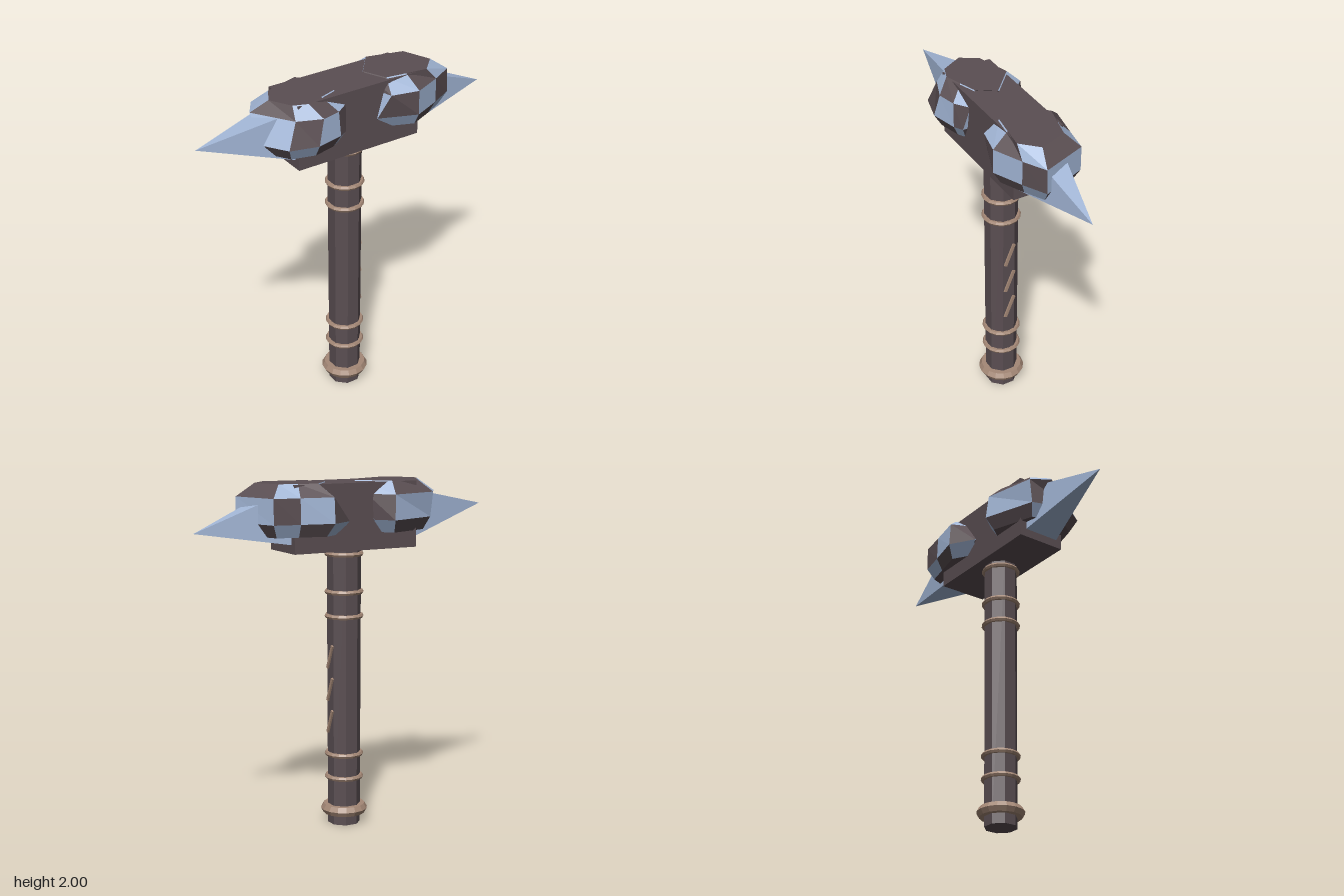
import * as THREE from 'three';

const mat = (name, color) => Object.assign(new THREE.MeshStandardMaterial({ color, flatShading: true }), { name });

export function createModel() {
  const model = new THREE.Group();
  model.name = 'warHammer';
  const dark = mat('darkStone', 0x5a4e52);
  const blue = mat('blueSteel', 0xa2b6d6);
  const brown = mat('brownBinding', 0xa48876);

  const add = (name, geometry, material, x = 0, y = 0, z = 0) => {
    const mesh = new THREE.Mesh(geometry, material);
    mesh.name = name;
    mesh.position.set(x, y, z);
    model.add(mesh);
    return mesh;
  };
  const toGeometry = (corners) => {
    const g = new THREE.BufferGeometry();
    g.setAttribute('position', new THREE.Float32BufferAttribute(corners.flat(), 3));
    g.computeVertexNormals();
    return g;
  };

  // Handle with slightly narrower foot
  add('handle', new THREE.CylinderGeometry(0.098, 0.094, 1.63, 8).rotateY(Math.PI / 8), dark, 0, 0.815);

  // Binding rings and pommel ring
  const ring = (name, y, radius, tube) =>
    add(name, new THREE.TorusGeometry(radius, tube, 6, 16).rotateX(Math.PI / 2), brown, 0, y);
  for (const y of [0.28, 0.418, 1.23, 1.37, 1.587]) ring('bindingRing', y, 0.099, 0.014);
  ring('pommelRing', 0.087, 0.104, 0.032);

  // Slanted strips on the left side of the grip
  for (const y of [0.615, 0.805, 0.995]) {
    add('gripStrip', new THREE.BoxGeometry(0.018, 0.148, 0.018), brown, 0.09, y, -0.003).rotation.x = -0.39;
  }

  // Head block
  add('headBlock', new THREE.BoxGeometry(0.78, 0.378, 0.294), dark, 0, 1.806, 0);

  // Faceted stones: rings of [x, z] from top to bottom, faces in a checker of two colours
  const heights = [2, 1.928, 1.785, 1.712];
  const stone = (name, centerX, outlines) => {
    const widest = outlines[2];
    const bottom = widest.map(([x, z]) => [centerX + (x - centerX) * 0.82, z * 0.82]);
    const rings = [...outlines, bottom].map((r, i) => r.map(([x, z]) => [x, heights[i], z]));
    const n = widest.length;
    const faces = [[], []];
    for (let r = 0; r < 3; r++) {
      for (let j = 0; j < n; j++) {
        const k = (j + 1) % n;
        const [a, b, c, d] = [rings[r][j], rings[r][k], rings[r + 1][j], rings[r + 1][k]];
        faces[(r + j) % 2].push(...a, ...b, ...c, ...b, ...d, ...c);
      }
    }
    // Flat top and bottom
    for (let j = 1; j < n - 1; j++) {
      faces[0].push(...rings[0][0], ...rings[0][j + 1], ...rings[0][j]);
      faces[0].push(...rings[3][0], ...rings[3][j], ...rings[3][j + 1]);
    }
    add(name + 'DarkFaces', toGeometry(faces[0]), dark);
    add(name + 'BlueFaces', toGeometry(faces[1]), blue);
  };
  stone('rightStone', -0.3, [
    [[-0.06, -0.015], [-0.13, 0.09], [-0.23, 0.123], [-0.33, 0.155], [-0.41, 0.125], [-0.48, 0], [-0.42, -0.1], [-0.22, -0.16]],
    [[-0.08, -0.12], [-0.085, 0.14], [-0.17, 0.2], [-0.28, 0.225], [-0.42, 0.17], [-0.565, -0.055], [-0.495, -0.16], [-0.2, -0.235]],
    [[-0.11, -0.15], [-0.11, 0.175], [-0.16, 0.205], [-0.32, 0.243], [-0.48, 0.2], [-0.56, 0.075], [-0.49, -0.14], [-0.19, -0.25]],
  ]);
  stone('leftStone', 0.35, [
    [[0.25, -0.16], [0.36, -0.132], [0.465, -0.105], [0.53, 0.06], [0.435, 0.155], [0.31, 0.138], [0.19, 0.12], [0.13, -0.015]],
    [[0.19, -0.235], [0.38, -0.2], [0.53, -0.175], [0.63, 0.09], [0.5, 0.16], [0.33, 0.235], [0.17, 0.2], [0.1, -0.03]],
    [[0.19, -0.245], [0.38, -0.205], [0.53, -0.175], [0.635, 0.09], [0.5, 0.16], [0.33, 0.235], [0.115, 0.15], [0.05, -0.155]],
  ]);

  // Four-sided spikes at both ends
  const spike = (name, side, tipY, topY) => {
    const tip = [side * 0.925, tipY, 0];
    const x = side * 0.385;
    const base = [[x, 1.665, 0.112], [x, 1.665, -0.108], [x, topY, -0.1], [x, topY, 0.1]];
    const corners = [];
    base.forEach((p, i) => {
      const q = base[(i + 1) % 4];
      corners.push(...(side > 0 ? [p, q, tip] : [q, p, tip]).flat());
    });
    add(name, toGeometry(corners), blue);
  };
  spike('leftSpike', 1, 1.745, 1.966);
  spike('rightSpike', -1, 1.835, 1.945);

  return model;
}
